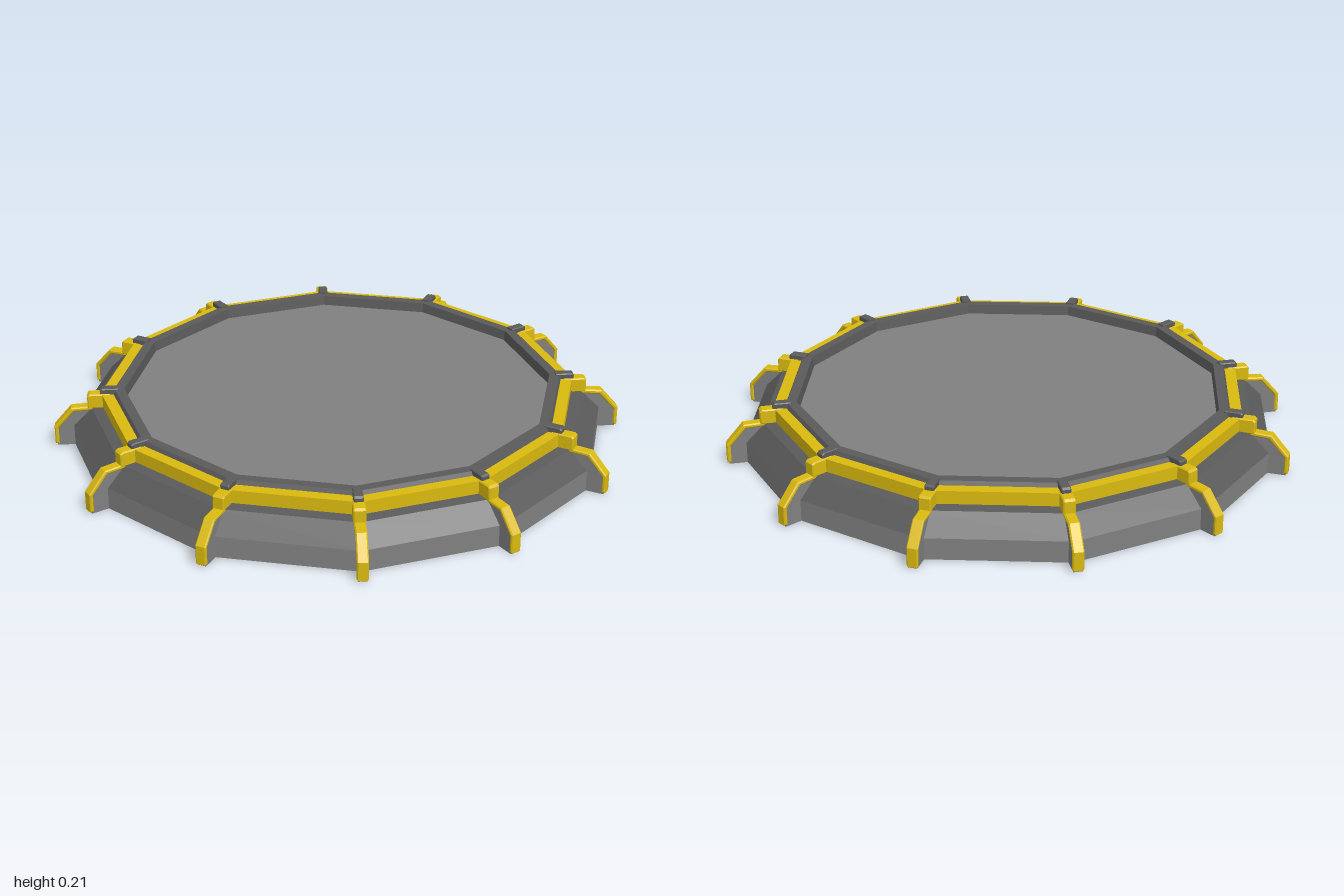
import * as THREE from 'three';

const SIDES = 12;
const mat = (name, color, opts = {}) => {
  const m = new THREE.MeshStandardMaterial({ color, flatShading: true, ...opts });
  m.name = name;
  return m;
};

export function createModel() {
  const lightGrey = mat('light grey', 0x808080);
  const darkGrey = mat('dark grey', 0x5a5a5a);
  const yellow = mat('yellow', 0xd9b90f);

  const model = new THREE.Group();
  model.name = 'landingPad';

  const add = (parent, name, geometry, material) => {
    const mesh = new THREE.Mesh(geometry, material);
    mesh.name = name;
    parent.add(mesh);
    return mesh;
  };

  // Twelve-sided ring from [radius, height] pairs, corners on the axes
  const ring = (name, points, material) =>
    add(model, name, new THREE.LatheGeometry(points.map(p => new THREE.Vector2(...p)), SIDES), material);

  // [radius, height] outline extruded to a thickness, pointing along +z
  const profile = (points, width, bevel) => {
    const shape = new THREE.Shape(points.map(p => new THREE.Vector2(...p)));
    const geometry = new THREE.ExtrudeGeometry(shape, {
      depth: width - 2 * bevel, bevelEnabled: bevel > 0, bevelSize: bevel,
      bevelThickness: bevel, bevelOffset: -bevel, bevelSegments: 1,
    });
    return geometry.translate(0, 0, bevel - width / 2).rotateY(-Math.PI / 2);
  };

  // Body
  ring('underside', [[0, 0], [0.935, 0]], darkGrey);
  ring('outerWall', [[0.935, 0], [0.935, 0.075]], lightGrey);
  ring('slopeAndRim', [
    [0.935, 0.075], [0.87, 0.14], [0.815, 0.147], [0.795, 0.185],
    [0.785, 0.205], [0.75, 0.205], [0.745, 0.17],
  ], darkGrey);
  ring('floor', [[0.745, 0.17], [0, 0.17]], lightGrey);

  // Rib shapes, shared by all corners
  const ribWeb = profile([[0.85, 0], [0.993, 0], [0.993, 0.066], [0.935, 0.133], [0.85, 0.138]], 0.03, 0);
  const ribCap = profile([
    [1, 0.006], [1, 0.072], [0.938, 0.143], [0.86, 0.147],
    [0.86, 0.133], [0.93, 0.129], [0.986, 0.066], [0.986, 0.006],
  ], 0.038, 0.004);
  const clamp = profile([[0.8, 0.14], [0.88, 0.14], [0.88, 0.186], [0.872, 0.193], [0.8, 0.193]], 0.042, 0.004);
  const knob = profile([[0.77, 0.18], [0.835, 0.18], [0.835, 0.205], [0.828, 0.211], [0.77, 0.211]], 0.032, 0.003);

  // Straight yellow band along one side
  const mid = Math.cos(Math.PI / SIDES);
  const half = Math.tan(Math.PI / SIDES);
  const outer = 0.832 * mid, inner = 0.782 * mid;
  const bandShape = new THREE.Shape([
    new THREE.Vector2(-outer * half + 0.015, -outer), new THREE.Vector2(outer * half - 0.015, -outer),
    new THREE.Vector2(inner * half - 0.015, -inner), new THREE.Vector2(-inner * half + 0.015, -inner),
  ]);
  const band = new THREE.ExtrudeGeometry(bandShape, { depth: 0.046, bevelEnabled: false })
    .rotateX(-Math.PI / 2).translate(0, 0.145, 0);

  for (let i = 0; i < SIDES; i++) {
    const angle = (i / SIDES) * Math.PI * 2;
    const rib = new THREE.Group();
    rib.name = 'rib';
    rib.rotation.y = angle;
    add(rib, 'ribWeb', ribWeb, lightGrey);
    add(rib, 'ribCap', ribCap, yellow);
    add(rib, 'clamp', clamp, yellow);
    add(rib, 'knob', knob, darkGrey);
    model.add(rib);
    add(model, 'band', band, yellow).rotation.y = angle + Math.PI / SIDES;
  }

  return model;
}
